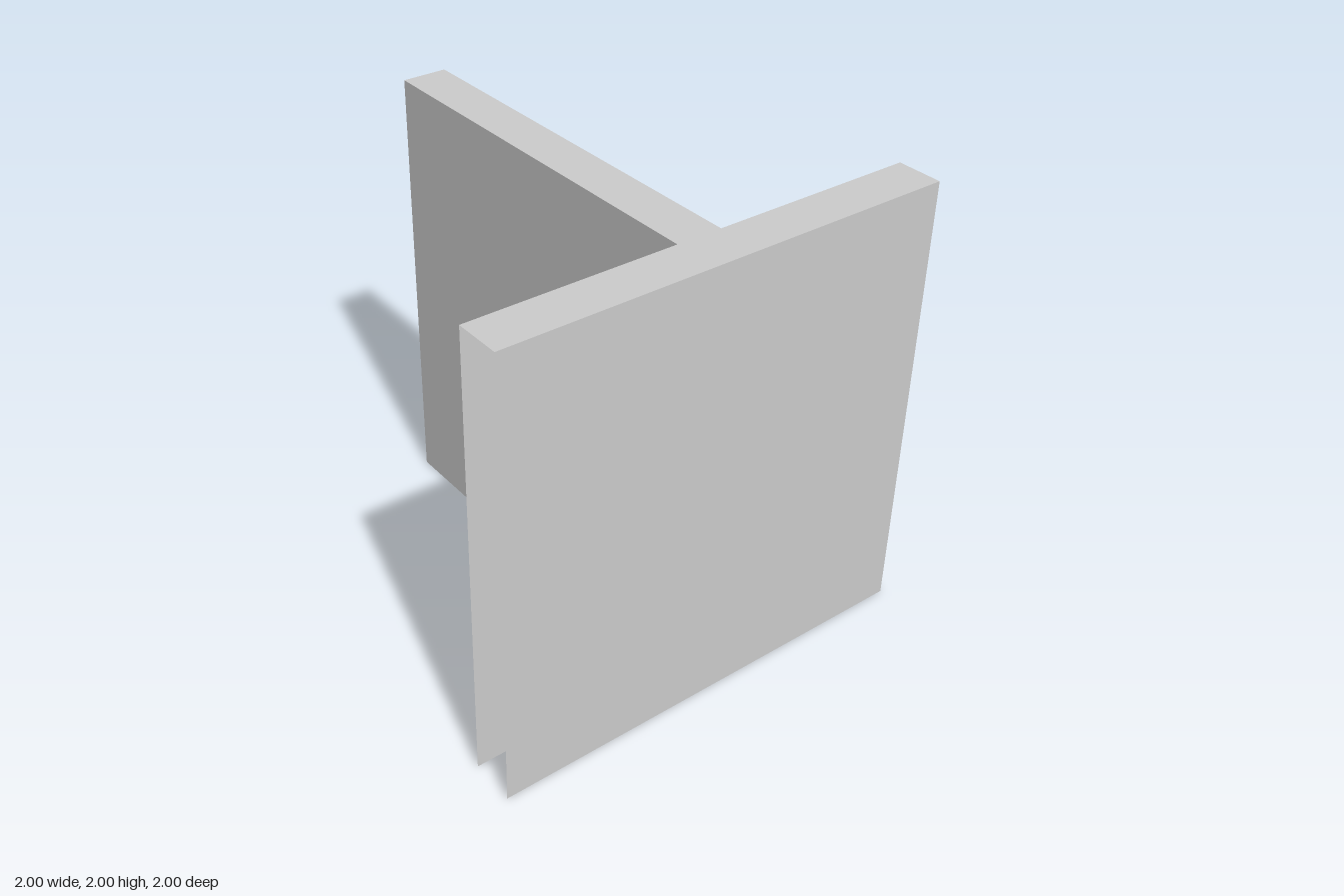
import * as THREE from 'three';

export function createModel() {
  const model = new THREE.Group();
  const wallGrey = new THREE.MeshStandardMaterial({ color: 0xcccccc, side: THREE.DoubleSide });
  const floorGrey = new THREE.MeshStandardMaterial({ color: 0x7d7d7d, side: THREE.DoubleSide });

  const H = 2;       // wall height
  const inner = 0.8; // inner face of the long wall
  const t = 0.1;     // half thickness of the cross wall

  const add = (name, geometry, material) => {
    const mesh = new THREE.Mesh(geometry, material);
    mesh.name = name;
    model.add(mesh);
  };

  // Upright sheet between two plan points [x, z]; its front lies left of the path seen from above
  const panel = (name, [x0, z0], [x1, z1]) => {
    const geometry = new THREE.PlaneGeometry(Math.hypot(x1 - x0, z1 - z0), H);
    geometry.rotateY(Math.atan2(z0 - z1, x1 - x0));
    geometry.translate((x0 + x1) / 2, H / 2, (z0 + z1) / 2);
    add(name, geometry, wallGrey);
  };

  // Wall skins: the ends, underside and inner junction stay open
  panel('longWallOuterSkin', [1, 1], [1, -1]);
  panel('longWallInnerSkinBack', [inner, -1], [inner, -t]);
  panel('longWallInnerSkinFront', [inner, t], [inner, 1]);
  panel('crossWallFrontSkin', [-1, t], [inner, t]);
  panel('crossWallBackSkin', [inner, -t], [-1, -t]);

  // T-shaped cap closing the top of both walls
  const outline = [[1, -1], [1, 1], [inner, 1], [inner, t], [-1, t], [-1, -t], [inner, -t], [inner, -1]];
  const cap = new THREE.ShapeGeometry(new THREE.Shape(outline.map(([x, z]) => new THREE.Vector2(x, -z))));
  cap.rotateX(-Math.PI / 2).translate(0, H, 0);
  add('wallCap', cap, wallGrey);

  // Floor behind the cross wall
  const floor = new THREE.PlaneGeometry(inner + 1, 1 - t);
  floor.rotateX(-Math.PI / 2).translate((inner - 1) / 2, 0, -(1 + t) / 2);
  add('floor', floor, floorGrey);

  return model;
}
